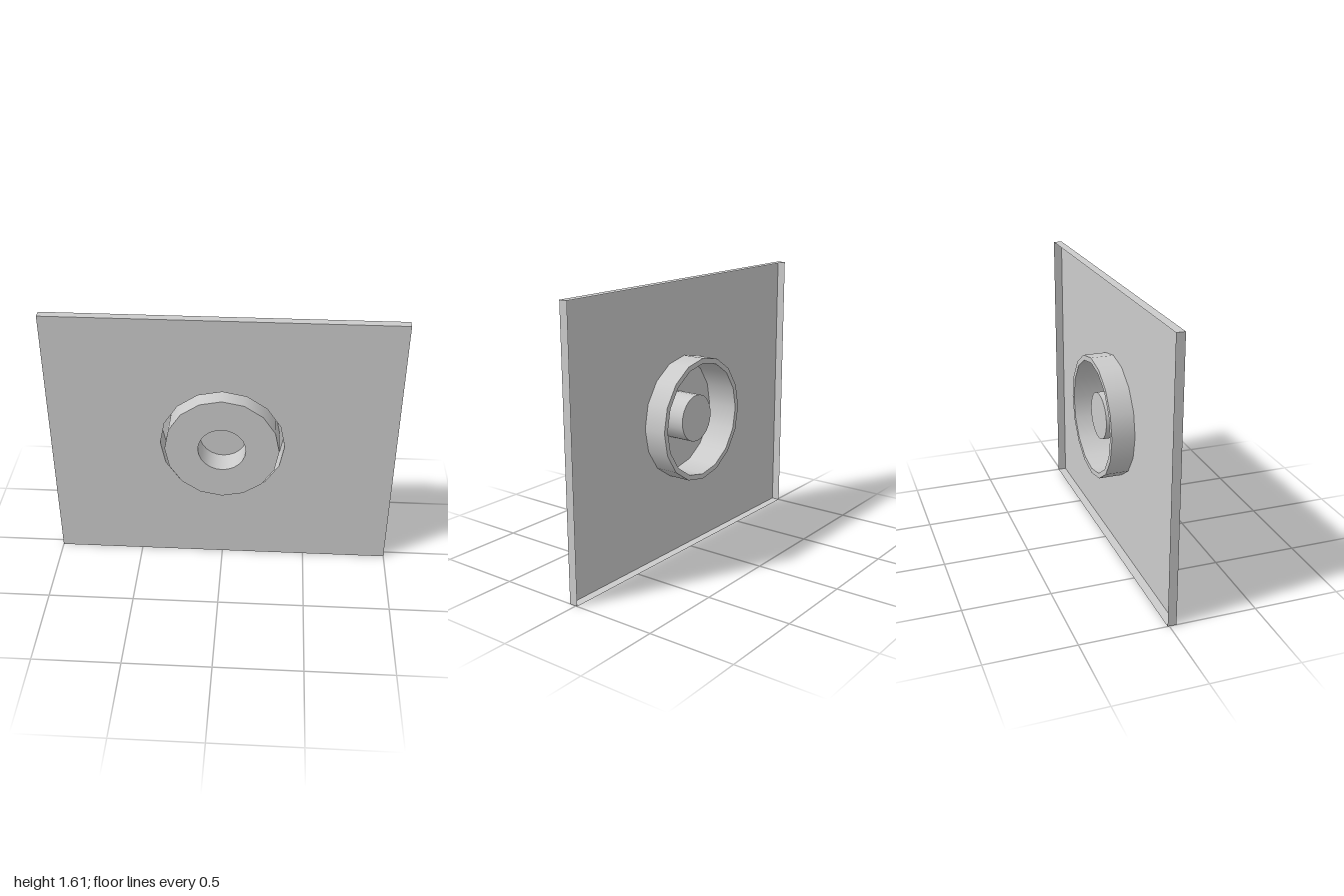
import * as THREE from 'three';

const W = 2, H = 1.61, CY = 0.807;
const PLATE_Z = 0.04, RIM_Z = -0.01, FRONT_Z = 0.095, BACK_Z = -0.095, CUP_Z = -0.05;
const R_OUT = 0.36, R_IN = 0.33, R_CUP = 0.138;
const SIDES = 16, CUP_SIDES = 24;

export function createModel() {
  const group = new THREE.Group();
  const material = new THREE.MeshStandardMaterial({ color: 0xcccccc, side: THREE.DoubleSide });

  const add = (name, geometry, x = 0, y = 0, z = 0) => {
    const mesh = new THREE.Mesh(geometry, material);
    mesh.name = name;
    mesh.position.set(x, y, z);
    group.add(mesh);
    return mesh;
  };

  // One band turned around the z axis between two [radius, z] points
  const band = (name, a, b, sides) => {
    const geometry = new THREE.LatheGeometry([new THREE.Vector2(...a), new THREE.Vector2(...b)], sides);
    geometry.rotateX(Math.PI / 2);
    add(name, geometry, 0, CY, 0);
  };

  // Front sheet with a polygonal opening
  const sheet = new THREE.Shape();
  sheet.moveTo(-W / 2, 0).lineTo(W / 2, 0).lineTo(W / 2, H).lineTo(-W / 2, H).closePath();
  const opening = [];
  for (let i = 0; i < SIDES; i++) {
    const t = -i / SIDES * Math.PI * 2;
    opening.push(new THREE.Vector2(R_OUT * Math.cos(t), CY + R_OUT * Math.sin(t)));
  }
  sheet.holes.push(new THREE.Path(opening));
  add('frontSheet', new THREE.ShapeGeometry(sheet), 0, 0, PLATE_Z);

  // Shallow rim folded back around the sheet
  const depth = PLATE_Z - RIM_Z, midZ = (PLATE_Z + RIM_Z) / 2;
  for (const s of [-1, 1]) {
    const side = new THREE.PlaneGeometry(depth, H).rotateY(s * Math.PI / 2);
    add(s > 0 ? 'leftRim' : 'rightRim', side, s * W / 2, H / 2, midZ);
    const edge = new THREE.PlaneGeometry(W, depth).rotateX(-s * Math.PI / 2);
    add(s > 0 ? 'topRim' : 'bottomRim', edge, 0, s > 0 ? H : 0, midZ);
  }

  // Pressed groove, raised face and central cup
  band('grooveOuterWall', [R_OUT, BACK_Z], [R_OUT, PLATE_Z], SIDES);
  band('grooveFloor', [R_IN, BACK_Z], [R_OUT, BACK_Z], SIDES);
  band('grooveInnerWall', [R_IN, FRONT_Z], [R_IN, BACK_Z], SIDES);
  const face = new THREE.Shape(opening.map((p) => new THREE.Vector2(p.x, p.y - CY).multiplyScalar(R_IN / R_OUT)));
  const cupHole = [];
  for (let i = 0; i < CUP_SIDES; i++) {
    const t = i / CUP_SIDES * Math.PI * 2;
    cupHole.push(new THREE.Vector2(R_CUP * Math.cos(t), R_CUP * Math.sin(t)));
  }
  face.holes.push(new THREE.Path(cupHole));
  add('raisedFace', new THREE.ShapeGeometry(face), 0, CY, FRONT_Z);
  band('cupWall', [R_CUP, CUP_Z], [R_CUP, FRONT_Z], CUP_SIDES);
  add('cupFloor', new THREE.CircleGeometry(R_CUP, CUP_SIDES), 0, CY, CUP_Z);

  return group;
}
